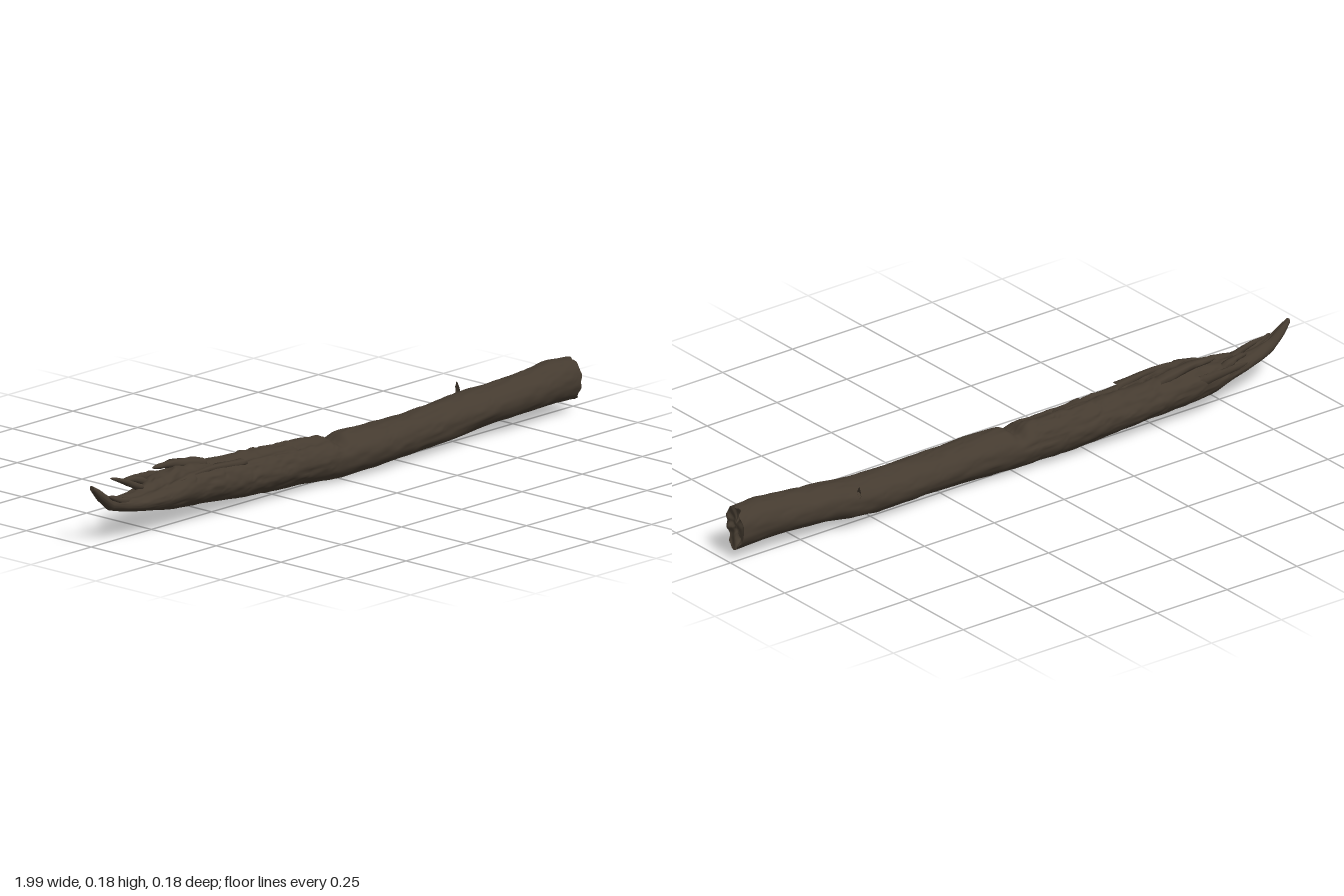
import * as THREE from 'three';

const bark = new THREE.MeshStandardMaterial({ color: 0x453b30 });
bark.name = 'bark';
const wood = new THREE.MeshStandardMaterial({ color: 0x4a4034 });
wood.name = 'brokenWood';

// Outline of the log along x: [x, bottom, top, back z, front z]
const stations = [
  [-1, 0.17, 0.187, -0.005, 0.012], [-0.97, 0.135, 0.172, -0.014, 0.018],
  [-0.93, 0.1, 0.142, -0.018, 0.024], [-0.88, 0.087, 0.132, -0.03, 0.036],
  [-0.82, 0.077, 0.13, -0.045, 0.052], [-0.76, 0.067, 0.138, -0.058, 0.058],
  [-0.7, 0.056, 0.15, -0.075, 0.062], [-0.63, 0.047, 0.166, -0.085, 0.066],
  [-0.55, 0.042, 0.16, -0.084, 0.067], [-0.4, 0.03, 0.152, -0.081, 0.068],
  [-0.2, 0.017, 0.146, -0.071, 0.066], [0, 0.008, 0.138, -0.056, 0.078],
  [0.12, 0.013, 0.136, -0.052, 0.086], [0.3, 0.017, 0.131, -0.053, 0.078],
  [0.5, 0.023, 0.14, -0.062, 0.07], [0.59, 0.032, 0.145, -0.063, 0.07],
  [0.66, 0.038, 0.149, -0.048, 0.075], [0.8, 0.043, 0.158, -0.041, 0.078],
  [0.89, 0.044, 0.168, -0.038, 0.077], [0.97, 0.038, 0.163, -0.034, 0.074],
];

// Smooth value noise built on an integer hash
const hash = (i, j, k) => {
  const s = Math.sin(i * 127.1 + j * 311.7 + k * 74.7) * 43758.5453;
  return (s - Math.floor(s)) * 2 - 1;
};
const ease = (t) => t * t * (3 - 2 * t);
const mix = THREE.MathUtils.lerp;
function noise(x, y, z) {
  const i = Math.floor(x), j = Math.floor(y), k = Math.floor(z);
  const u = ease(x - i), v = ease(y - j), w = ease(z - k);
  const row = (b, c) => mix(hash(i, j + b, k + c), hash(i + 1, j + b, k + c), u);
  return mix(mix(row(0, 0), row(1, 0), v), mix(row(0, 1), row(1, 1), v), w);
}

function outline(x) {
  let i = 0;
  while (i < stations.length - 2 && stations[i + 1][0] < x) i++;
  const a = stations[i], b = stations[i + 1];
  const t = (x - a[0]) / (b[0] - a[0]);
  return a.map((v, n) => mix(v, b[n], t));
}

// A weathered point on the bark at position x and angle a round the log
function barkPoint(x, a) {
  const [, bottom, top, back, front] = outline(x);
  const c = Math.cos(a), s = Math.sin(a), up = Math.max(0, s);
  const ry = (top - bottom) / 2, rz = (front - back) / 2;
  const size = Math.min(1, ry / 0.05);
  const rotten = THREE.MathUtils.smoothstep(-x, -0.02, 0.12);
  // long wavy grain, finer ridges and narrow cracks on the upper side
  let d = 0.05 * noise(x * 7, c * 1.6 + 5, s * 1.6) + 0.025 * noise(x * 22, c * 5, s * 5 + 9);
  const rough = 0.25 + 0.75 * up;
  d += rough * (0.05 * noise(x * 40, c * 8 + 3, s * 8) * (0.3 + rotten));
  const crack = Math.abs(noise(x * 9 + 4, c * 5, s * 5));
  d -= 0.11 * rough * Math.max(0, 1 - crack / 0.1) * (0.35 + 0.65 * rotten);
  // ragged broken steps near the splintered end
  const ragged = THREE.MathUtils.smoothstep(-x, 0.5, 0.75);
  d += ragged * up * 0.18 * noise(x * 28, c * 3, s * 3 + 2);
  const r = 1 + d * size;
  let y = (bottom + top) / 2 + ry * s * r;
  const z = (back + front) / 2 + rz * c * r;
  // rotten channel along the top, and the notch across the middle
  y -= 0.014 * rotten * size * Math.exp(-(((c - 0.25) / 0.3) ** 2)) * up;
  y -= 0.024 * Math.exp(-(((x + 0.015) / 0.022) ** 2)) * up * up;
  // the sawn end leans and is chipped
  const end = THREE.MathUtils.smoothstep(x, 0.85, 0.97);
  const shift = -0.28 * (z - 0.02) - 0.1 * (y - 0.1) + 0.012 * noise(c * 3, s * 3, 7);
  return [Math.min(1, x + end * shift), Math.max(0, y), z];
}

// Skin a grid of rings, closed round the log
function skin(name, rings, sides, point, material) {
  const positions = [], index = [];
  for (let i = 0; i <= rings; i++) {
    for (let j = 0; j < sides; j++) positions.push(...point(i / rings, (j / sides) * Math.PI * 2));
  }
  for (let i = 0; i < rings; i++) {
    for (let j = 0; j < sides; j++) {
      const a = i * sides + j, b = i * sides + ((j + 1) % sides);
      index.push(a, a + sides, b + sides, a, b + sides, b);
    }
  }
  const geometry = new THREE.BufferGeometry();
  geometry.setAttribute('position', new THREE.Float32BufferAttribute(positions, 3));
  geometry.setIndex(index);
  geometry.computeVertexNormals();
  const mesh = new THREE.Mesh(geometry, material);
  mesh.name = name;
  return mesh;
}

// A tapering sliver following a few points
function splinter(name, points, radius, flat = 1) {
  const curve = new THREE.CatmullRomCurve3(points.map((p) => new THREE.Vector3(...p)));
  return skin(name, 14, 8, (t, a) => {
    const p = curve.getPoint(1 - t);
    const r = radius * Math.sqrt(t) * (1 + 0.35 * noise(t * 6, Math.cos(a) * 2, Math.sin(a) * 2 + radius * 900));
    return [p.x, p.y + r * Math.sin(a), p.z + r * flat * Math.cos(a)];
  }, bark);
}

export function createModel() {
  const log = new THREE.Group();
  log.name = 'log';

  log.add(skin('barkTrunk', 300, 64, (t, a) => barkPoint(mix(-1, 0.97, t), a), bark));

  // Chipped cut face, sunk a little in the middle
  log.add(skin('cutEnd', 12, 64, (t, a) => {
    const [x, y, z] = barkPoint(0.97, a);
    const r = 1 - t, cy = 0.1, cz = 0.02;
    const py = cy + (y - cy) * r, pz = cz + (z - cz) * r;
    const chips = 0.014 * noise(py * 45, pz * 45, 3) * Math.min(1, t * 4) * Math.min(1, r * 4);
    return [Math.min(1, mix(0.962, x, r) + chips - 0.008 * Math.sin(t * Math.PI)), py, pz];
  }, wood));

  // Closing cap on the thin tip
  log.add(skin('tipEnd', 1, 64, (t, a) => {
    const [x, y, z] = barkPoint(-1, a);
    return [x, mix(0.1785, y, t), mix(0.0035, z, t)];
  }, wood));

  // Slivers at the broken end, raised bark flakes and a twig stub
  log.add(
    splinter('backSplinter', [[-0.62, 0.125, -0.072], [-0.7, 0.135, -0.082], [-0.79, 0.142, -0.083]], 0.018, 0.6),
    splinter('upperSplinter', [[-0.78, 0.135, -0.015], [-0.83, 0.158, -0.024], [-0.885, 0.178, -0.035]], 0.012),
    splinter('sideSplinter', [[-0.72, 0.13, -0.05], [-0.77, 0.148, -0.052], [-0.81, 0.152, -0.05]], 0.014),
    splinter('tipSplinter', [[-0.86, 0.115, 0.022], [-0.91, 0.13, 0.02], [-0.95, 0.148, 0.022]], 0.014),
    splinter('barkFlake', [[-0.5, 0.145, -0.035], [-0.62, 0.166, -0.04], [-0.7, 0.168, -0.045]], 0.017, 1.3),
    splinter('barkFlake', [[-0.4, 0.138, 0.03], [-0.55, 0.148, 0.032], [-0.7, 0.138, 0.034]], 0.012, 1.2),
    splinter('twigStub', [[0.58, 0.115, -0.05], [0.59, 0.128, -0.064], [0.592, 0.15, -0.07]], 0.011),
  );
  return log;
}
